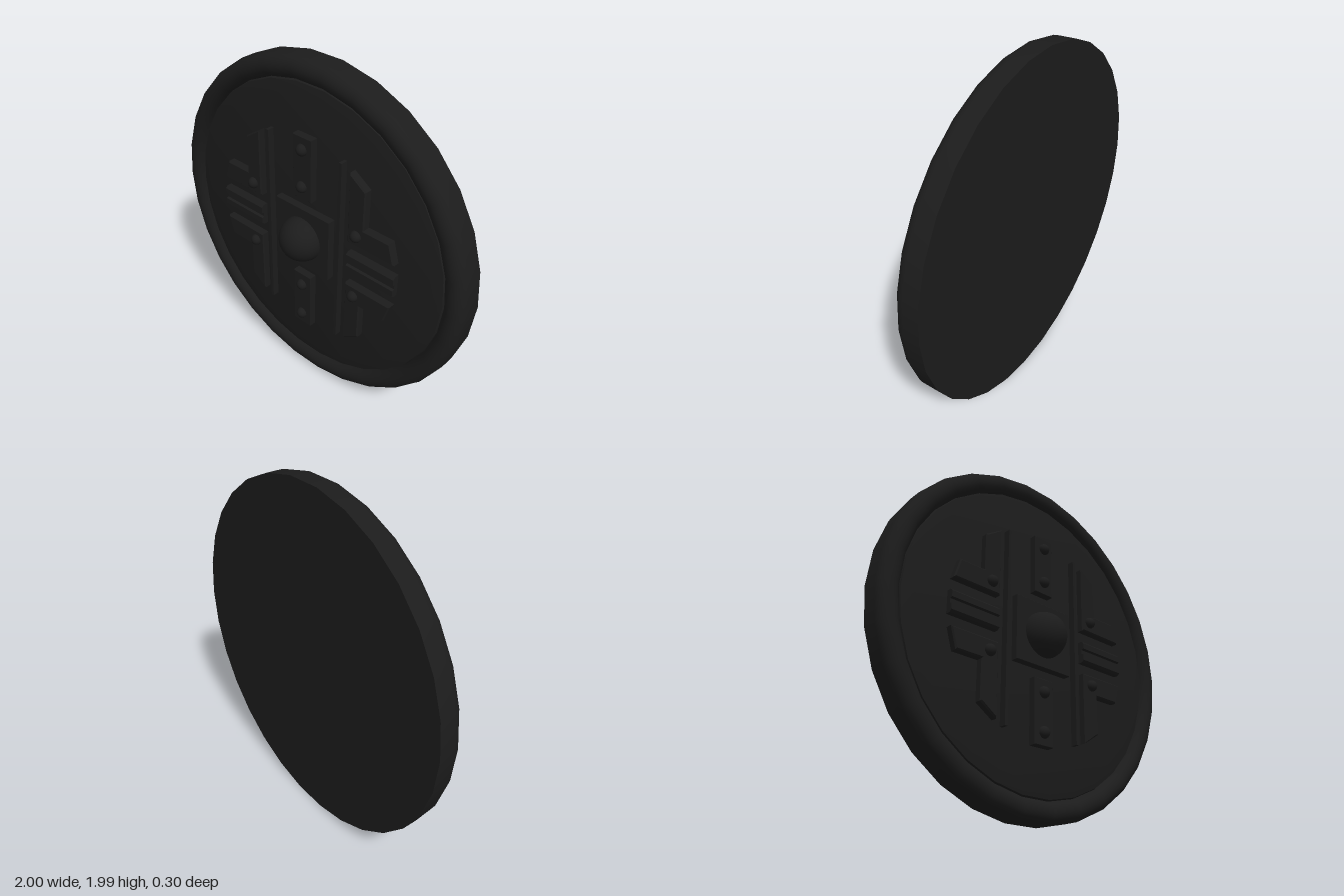
import * as THREE from 'three';
import { toCreasedNormals } from 'three/addons/utils/BufferGeometryUtils.js';

const CY = 0.995;      // height of the disc centre
const FACE = -0.02;    // z of the recessed front face
const TOP = 0.022;     // z of the raised plates

export function createModel() {
  const group = new THREE.Group();
  const material = new THREE.MeshStandardMaterial({ color: 0x1c1c1c });

  const add = (name, geometry, x = 0, y = 0, z = 0) => {
    const mesh = new THREE.Mesh(geometry, material);
    mesh.name = name;
    mesh.position.set(x, CY + y, z);
    group.add(mesh);
    return mesh;
  };

  // Bevelled plate from an outline, sunk slightly into the face
  const plate = (name, points, bevel) => {
    const shape = new THREE.Shape(points.map(([x, y]) => new THREE.Vector2(x, y)));
    const base = FACE - 0.01;
    const geometry = new THREE.ExtrudeGeometry(shape, {
      depth: TOP - base - bevel, bevelEnabled: true, bevelThickness: bevel,
      bevelSize: bevel, bevelOffset: -bevel, bevelSegments: 1,
    });
    add(name, geometry, 0, 0, base);
  };
  const rect = (x0, x1, y0, y1) => [[x0, y0], [x1, y0], [x1, y1], [x0, y1]];
  const stud = (x, y) => add('stud', new THREE.SphereGeometry(0.033, 16, 12), x, y, TOP);

  // Disc with rounded rim, groove and gently raised face
  const profile = [[0, -0.15], [1, -0.15]];
  for (let i = 0; i <= 10; i++) {
    const a = (i / 10) * Math.PI * 0.95;
    profile.push([0.94 + 0.06 * Math.cos(a), -0.06 + 0.06 * Math.sin(a)]);
  }
  profile.push([0.875, -0.035], [0.81, FACE], [0, FACE]);
  const disc = new THREE.LatheGeometry(
    profile.map(([r, z]) => new THREE.Vector2(r, z)), 30, Math.PI / 2);
  disc.rotateX(Math.PI / 2);
  add('disc', toCreasedNormals(disc, 0.6));

  // Central boss
  plate('centrePlate', rect(-0.192, 0.192, -0.19, 0.19), 0.003);
  add('centreDome', new THREE.SphereGeometry(0.131, 32, 20), 0, 0, 0.019);

  // Upper and lower plates with two studs each
  for (const s of [1, -1]) {
    plate('verticalPlate', rect(-0.064, 0.064, Math.min(s * 0.255, s * 0.62), Math.max(s * 0.255, s * 0.62)), 0.003);
    stud(0, s * 0.33);
    stud(0, s * 0.548);
  }

  // Corner brackets outline, in the upper left quadrant
  const bracket = [[0.312, 0.135], [0.61, 0.135], [0.575, 0.253],
    [0.416, 0.253], [0.416, 0.474], [0.312, 0.543]];

  // Cross-section of the side bars: two ribs with a groove between
  const ribs = [[-0.065, -0.03], [0.065, -0.03], [0.065, 0.008], [0.052, TOP],
    [0.018, TOP], [0.012, 0.008], [-0.012, 0.008], [-0.018, TOP], [-0.052, TOP], [-0.065, 0.008]];

  for (const sx of [1, -1]) {
    add('thinBar', new THREE.BoxGeometry(0.018, 1.135, 0.05), sx * 0.251, 0.003, -0.005);

    const bar = new THREE.ExtrudeGeometry(
      new THREE.Shape(ribs.map(([y, z]) => new THREE.Vector2(y, z))),
      { depth: 0.306, bevelEnabled: false });
    // section (y, z) runs along x
    bar.applyMatrix4(new THREE.Matrix4().set(
      0, 0, 1, 0,
      1, 0, 0, 0,
      0, 1, 0, 0,
      0, 0, 0, 1));
    add('sideBar', bar, sx > 0 ? 0.312 : -0.618, 0, 0);

    for (const sy of [1, -1]) {
      plate('cornerBracket', bracket.map(([x, y]) => [sx * x, sy * y]), 0.008);
      stud(sx * 0.37, sy * 0.198);
    }
  }
  return group;
}
